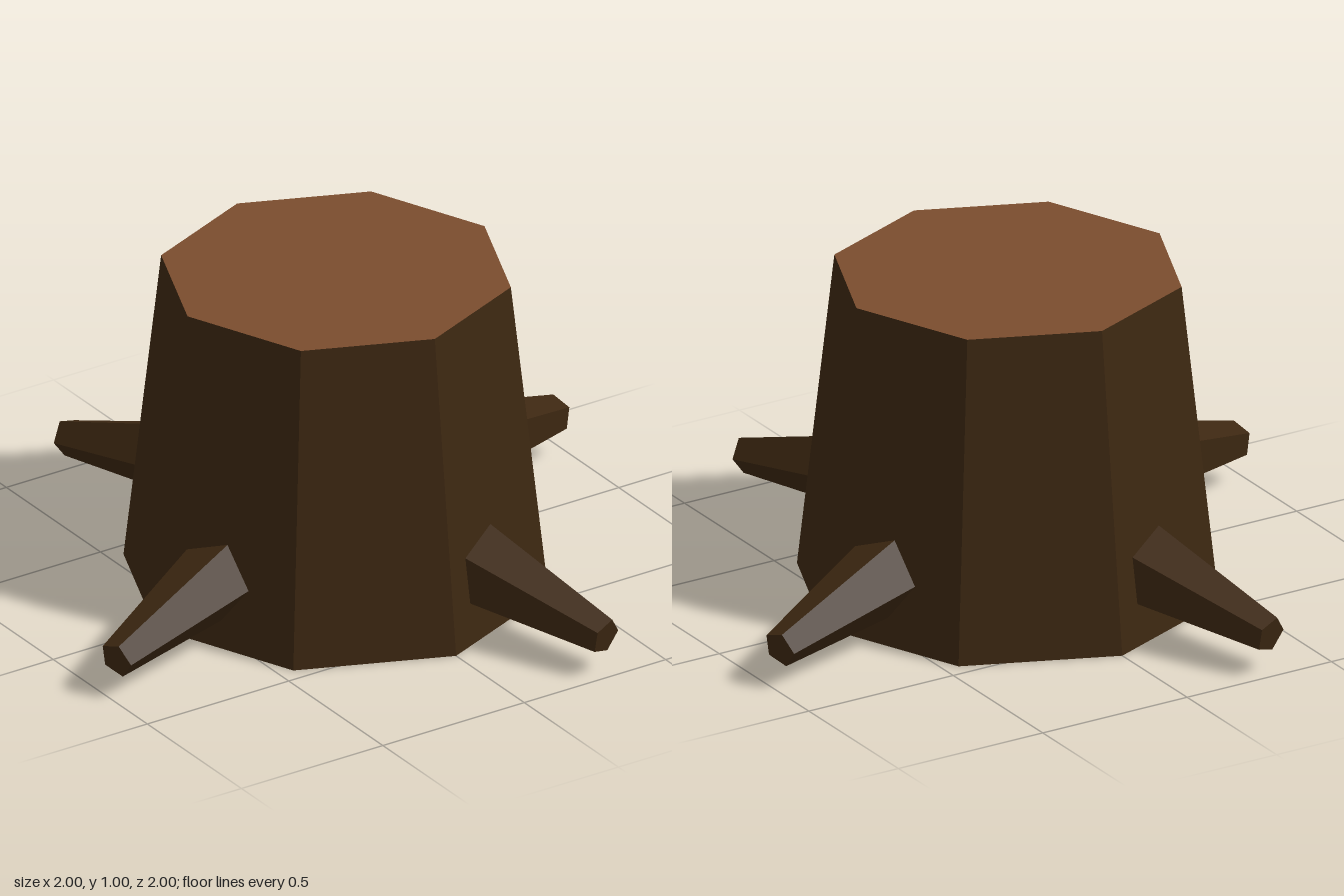
import * as THREE from 'three';

export function createModel() {
  const model = new THREE.Group();
  model.name = 'treeStump';

  const bark = new THREE.MeshStandardMaterial({ color: 0x3c2711, flatShading: true });
  bark.name = 'darkBark';
  const wood = new THREE.MeshStandardMaterial({ color: 0x7a4c2e, flatShading: true });
  wood.name = 'cutWood';

  // Eight-sided tapered trunk: bark sides, cut top, bark underside
  const trunk = new THREE.Mesh(
    new THREE.CylinderGeometry(0.525, 0.638, 1, 8).translate(0, 0.5, 0),
    [bark, wood, bark]
  );
  trunk.name = 'trunk';
  model.add(trunk);

  // Five-sided tapered root, sloping down and out from inside the trunk
  const inner = { r: 0.4, y: 0.232 };
  const tip = { r: 1.025, y: 0.122 };
  const run = tip.r - inner.r;
  const drop = inner.y - tip.y;
  const rootGeometry = new THREE.CylinderGeometry(0.057, 0.146, Math.hypot(run, drop), 5, 1, false, Math.PI / 2)
    .rotateX(Math.PI / 2 + Math.atan2(drop, run))
    .translate(0, (inner.y + tip.y) / 2, (inner.r + tip.r) / 2);

  // Four roots, a quarter turn apart
  ['front', 'left', 'back', 'right'].forEach((side, i) => {
    const root = new THREE.Mesh(rootGeometry, bark);
    root.name = side + 'Root';
    root.rotation.y = 0.3 + i * Math.PI / 2;
    model.add(root);
  });

  return model;
}
